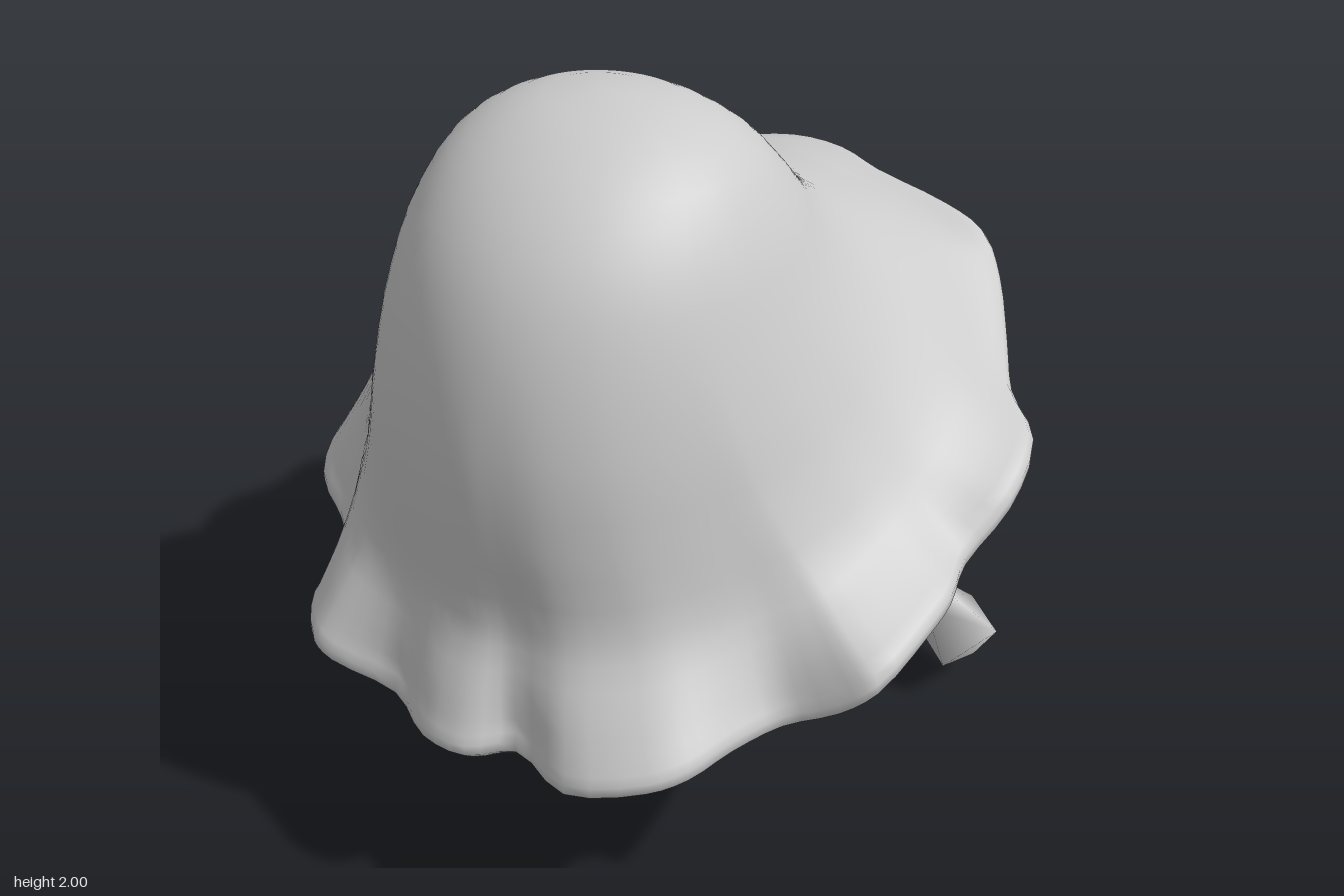
import * as THREE from 'three';
import { mergeVertices } from 'three/addons/utils/BufferGeometryUtils.js';

const V = (x, y, z) => new THREE.Vector3(x, y, z);

// Scalloped, wavy brim edge: [x, y, z], starting at the back
const BRIM = [
  [-.08, 1.46, -.92], [.08, 1.46, -.91], [.22, 1.44, -.86], [.45, 1.41, -.81], [.58, 1.38, -.76],
  [.66, 1.31, -.68], [.75, 1.21, -.53], [.82, 1.15, -.4], [.94, 1.12, -.25], [.96, 1.05, -.07],
  [.91, .95, .07], [.93, .92, .2], [.92, .89, .3], [.88, .83, .49], [.8, .76, .52], [.67, .69, .55],
  [.6, .67, .67], [.55, .65, .79], [.48, .63, .86], [.29, .59, .92], [.1, .58, .84], [0, .575, .91],
  [-.13, .575, .9], [-.28, .585, .81], [-.47, .62, .82], [-.54, .64, .8], [-.63, .66, .68],
  [-.67, .68, .5], [-.75, .72, .41], [-.85, .78, .35], [-.9, .84, .2], [-.89, .88, .03],
  [-.97, .95, -.07], [-.97, 1.03, -.23], [-.92, 1.08, -.34], [-.8, 1.15, -.48], [-.72, 1.24, -.65],
  [-.6, 1.29, -.73], [-.4, 1.37, -.79], [-.25, 1.43, -.88],
];

// Crown rings: front z, y | side x, z, y | back z, y | share of the scallops
const RINGS = [
  [.38, 1.965, .2, .2, 1.97, .02, 1.97, 0],
  [.55, 1.87, .355, .2, 1.88, -.12, 1.885, 0],
  [.68, 1.73, .45, .2, 1.73, -.25, 1.775, 0],
  [.76, 1.55, .52, .18, 1.55, -.35, 1.685, 0],
  [.805, 1.3, .59, .13, 1.38, -.46, 1.605, .05],
  [.805, 1.07, .66, .06, 1.25, -.58, 1.545, .1],
  [.79, .84, .76, 0, 1.13, -.7, 1.5, .3],
];

// Value at an angle with cosine c, passing through front, side and back
const blend = (front, side, back, c) =>
  side + (front - back) / 2 * c + ((front + back) / 2 - side) * c * c;

function hatGeometry() {
  const columns = 120, steps = 26;
  const edge = new THREE.CatmullRomCurve3(BRIM.map((p) => V(...p)), true, 'centripetal');
  const positions = [], index = [];
  let rows = 0;
  for (let j = 0; j < columns; j++) {
    const rim = edge.getPoint(j / columns);
    const angle = Math.atan2(rim.x, rim.z), c = Math.cos(angle), s = Math.sin(angle);
    const wave = Math.hypot(rim.x, rim.z) - .9;

    const outer = [V(-.03, 2, .2)];
    for (const [fz, fy, sx, sz, sy, bz, by, share] of RINGS) {
      const k = 1 + wave * share;
      outer.push(V((sx * s - .025) * k, blend(fy, sy, by, c), blend(fz, sz, bz, c) * k));
    }
    outer.push(outer[7].clone().lerp(rim, .52).add(V(0, -.01, 0)));
    outer.push(V(rim.x * .985, rim.y + .012, rim.z * .985));
    const skin = new THREE.CatmullRomCurve3(outer, false, 'centripetal').getPoints(steps);

    // Outer skin, rolled edge, then the lining back up to the top
    const lining = skin.map((p) => V(p.x * .95, p.y - .045, .1 + (p.z - .1) * .95)).reverse();
    const roll = [[1, -.008], [1, -.035], [.98, -.052]]
      .map(([k, dy]) => V(rim.x * k, rim.y + dy, rim.z * k));
    const profile = [...skin, ...roll, ...lining];
    rows = profile.length;
    for (const p of profile) positions.push(p.x, p.y, p.z);
  }
  for (let j = 0; j < columns; j++) {
    for (let i = 0; i < rows - 1; i++) {
      const a = j * rows + i, b = ((j + 1) % columns) * rows + i;
      index.push(a, b, a + 1, b, b + 1, a + 1);
    }
  }
  let geometry = new THREE.BufferGeometry();
  geometry.setAttribute('position', new THREE.Float32BufferAttribute(positions, 3));
  geometry.setIndex(index);
  geometry = mergeVertices(geometry);
  geometry.computeVertexNormals();
  return geometry;
}

// Cord with a four-sided pointed tassel at its lower end
function makeStrap(name, points, tip, material) {
  const strap = new THREE.Group();
  strap.name = name;
  const path = points.map((p) => V(...p));
  const curve = new THREE.CatmullRomCurve3(path);
  const cord = new THREE.Mesh(new THREE.TubeGeometry(curve, 20, .048, 8), material);
  cord.name = name + 'Cord';
  const end = new THREE.Mesh(new THREE.SphereGeometry(.048, 8, 6), material);
  end.name = name + 'End';
  end.position.copy(path[0]);

  const start = path[path.length - 1], axis = V(...tip).sub(start), length = axis.length();
  const shape = [[0, 1], [.13, .63], [.055, .05], [0, -.1]]
    .map(([r, t]) => new THREE.Vector2(r, -t * length));
  const tassel = new THREE.Mesh(new THREE.LatheGeometry(shape, 4), material);
  tassel.name = name + 'Tassel';
  tassel.position.copy(start);
  tassel.quaternion.setFromUnitVectors(V(0, -1, 0), axis.normalize());
  strap.add(cord, end, tassel);
  return strap;
}

export function createModel() {
  const model = new THREE.Group();
  model.name = 'sunHat';
  const felt = new THREE.MeshStandardMaterial({ color: 0xcccccc });
  felt.name = 'pale grey felt';

  const hat = new THREE.Mesh(hatGeometry(), felt);
  hat.name = 'crownAndBrim';
  model.add(hat);

  model.add(makeStrap('leftStrap',
    [[.46, 1.35, -.41], [.5, 1.17, -.44], [.53, .88, -.47], [.535, .6, -.5], [.55, .42, -.53], [.59, .34, -.55]],
    [.7, .08, -.66], felt));
  model.add(makeStrap('rightStrap',
    [[-.4, 1.31, -.24], [-.5, 1.2, -.295], [-.59, .98, -.345], [-.615, .62, -.37], [-.62, .42, -.38], [-.665, .31, -.39]],
    [-.77, .005, -.49], felt));
  return model;
}
